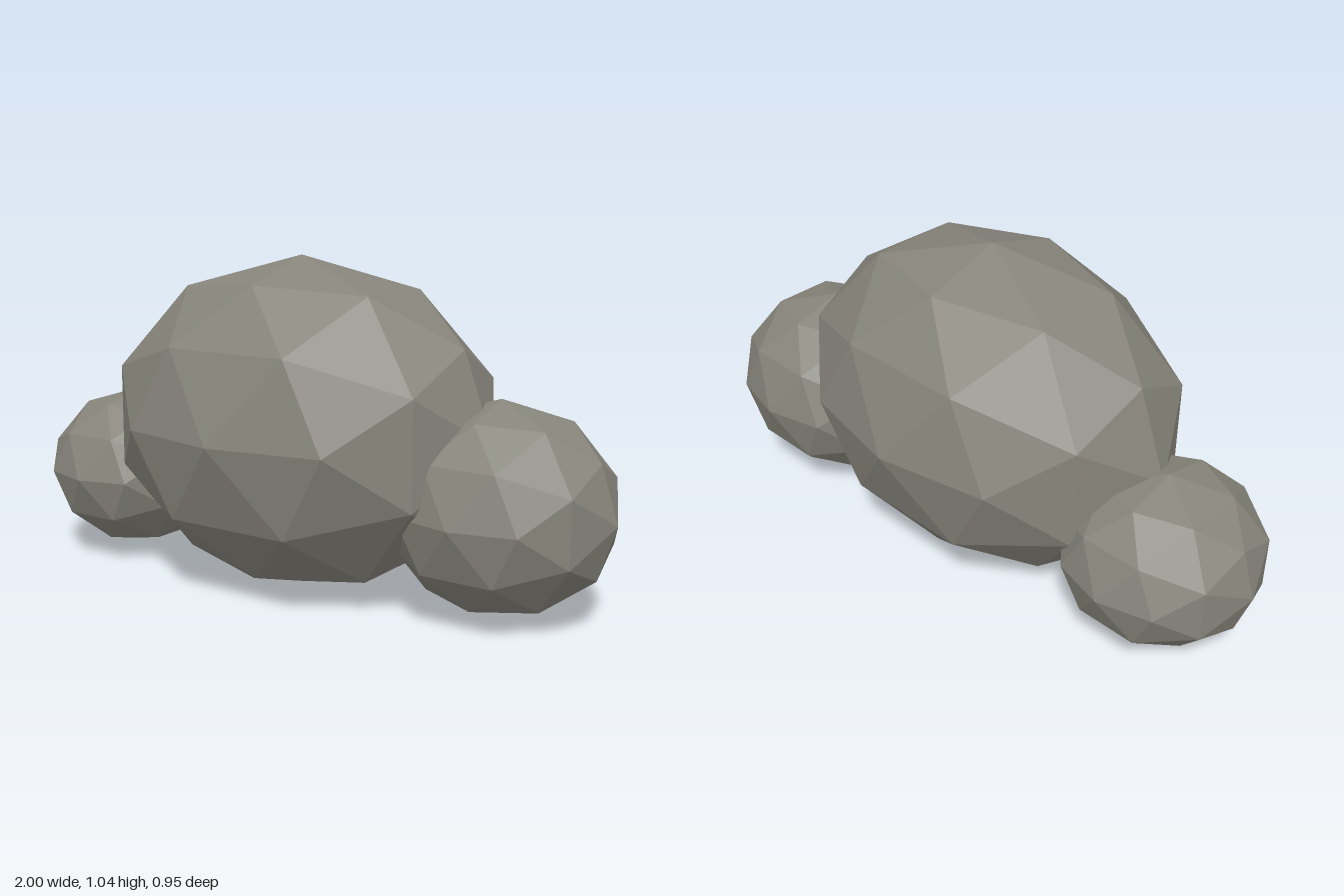
import * as THREE from 'three';

export function createModel() {
  const group = new THREE.Group();
  group.name = 'rockCluster';

  const stone = new THREE.MeshStandardMaterial({ color: 0x87857b, flatShading: true });
  stone.name = 'warm grey stone';

  // One faceted boulder: a subdivided icosahedron squashed to an ellipsoid
  function addBoulder(name, [rx, ry, rz], [x, y, z]) {
    const geometry = new THREE.IcosahedronGeometry(1, 1);
    geometry.rotateY(Math.PI / 2);
    geometry.scale(rx, ry, rz);
    geometry.computeVertexNormals();
    const mesh = new THREE.Mesh(geometry, stone);
    mesh.name = name;
    mesh.position.set(x, y, z);
    group.add(mesh);
  }

  addBoulder('mainBoulder', [0.663, 0.519, 0.474], [-0.008, 0.522, 0]);
  addBoulder('rightBoulder', [0.31, 0.269, 0.308], [-0.69, 0.298, -0.002]);
  addBoulder('leftBoulder', [0.36, 0.318, 0.319], [0.64, 0.334, -0.072]);

  return group;
}
